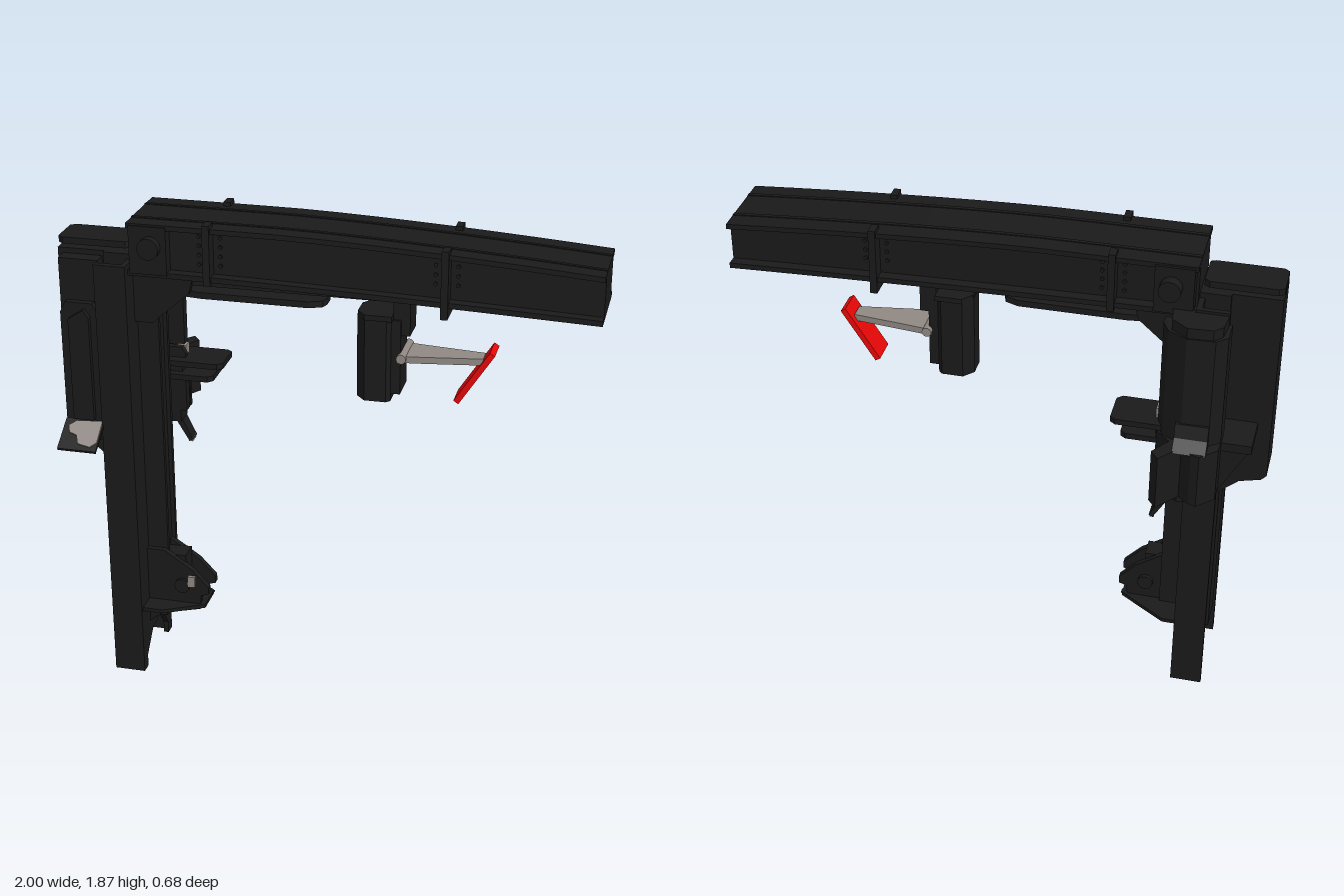
import * as THREE from 'three';

const mat = (name, color) => {
  const m = new THREE.MeshStandardMaterial({ color });
  m.name = name;
  return m;
};

export function createModel() {
  const root = new THREE.Group();
  root.name = 'overheadArmStand';
  const dark = mat('charcoal', 0x1a1a1a);
  const grey = mat('warm grey', 0x8f8883);
  const red = mat('red', 0xea0606);

  const add = (name, geo, m = dark) => {
    const mesh = new THREE.Mesh(geo, m);
    mesh.name = name;
    root.add(mesh);
    return mesh;
  };
  const box = (name, x0, x1, y0, y1, z0, z1, m) => add(name,
    new THREE.BoxGeometry(x1 - x0, y1 - y0, z1 - z0)
      .translate((x0 + x1) / 2, (y0 + y1) / 2, (z0 + z1) / 2), m);
  const extrude = (pts, depth) => new THREE.ExtrudeGeometry(
    new THREE.Shape(pts.map(p => new THREE.Vector2(p[0], p[1]))), { depth, bevelEnabled: false });
  // side outline in x,y
  const side = (name, pts, z0, z1, m) => add(name, extrude(pts, z1 - z0).translate(0, 0, z0), m);
  // plan outline in x,z
  const plan = (name, pts, y0, y1, m) => add(name,
    extrude(pts.map(([x, z]) => [x, -z]), y1 - y0).rotateX(-Math.PI / 2).translate(0, y0, 0), m);
  // end outline in z,y
  const end = (name, pts, x0, x1, m) => add(name,
    extrude(pts.map(([z, y]) => [-z, y]), x1 - x0).rotateY(Math.PI / 2).translate(x0, 0, 0), m);
  const disc = (name, x, y, z0, z1, r, m) => add(name,
    new THREE.CylinderGeometry(r, r, z1 - z0, 20).rotateX(Math.PI / 2).translate(x, y, (z0 + z1) / 2), m);

  // --- Column: outer flanges, notched web, centre rail ---
  box('columnFlangeFront', -0.83, -0.71, 0, 1.7, 0.21, 0.235);
  box('columnFlangeBack', -0.83, -0.71, 0, 1.7, -0.115, -0.095);
  end('columnWeb', [[0.235, 0], [0.19, 0], [0.19, 0.05], [0.11, 0.135], [0.05, 0.135], [0.05, 0.2],
    [0.02, 0.2], [0.02, 0.135], [-0.01, 0.135], [-0.07, 0.05], [-0.07, 0], [-0.115, 0],
    [-0.115, 1.7], [0.235, 1.7]], -0.73, -0.71);
  box('columnCore', -0.83, -0.72, 0.2, 1.7, 0.0, 0.13);
  box('centreRail', -0.71, -0.645, 0.2, 1.66, 0.005, 0.12);
  for (const [a, b] of [[0.005, 0.025], [0.1, 0.12]])
    box('centreRailLip', -0.65, -0.63, 0.27, 1.66, a, b);
  box('columnHead', -0.82, -0.7, 1.62, 1.72, -0.03, 0.15);

  // --- Foot bracket ---
  const rib = [[-0.71, 0.18], [-0.66, 0.22], [-0.5, 0.26], [-0.475, 0.28], [-0.71, 0.28]];
  const cheek = [[-0.71, 0.28], [-0.5, 0.28], [-0.495, 0.32], [-0.465, 0.33],
    [-0.465, 0.36], [-0.53, 0.43], [-0.64, 0.505], [-0.71, 0.505]];
  for (const z of [0.02, 0.115]) {
    side('footRib', rib, z, z + 0.025);
    side('footCheek', cheek, z, z + 0.025);
  }
  plan('footDeck', [[-0.71, -0.1], [-0.66, -0.1], [-0.48, 0.02], [-0.48, 0.14], [-0.63, 0.22], [-0.71, 0.22]], 0.268, 0.283);
  box('footBlock', -0.65, -0.56, 0.33, 0.48, 0.04, 0.12);
  disc('footPivot', -0.57, 0.36, 0.005, 0.152, 0.03);
  box('footCatch', -0.545, -0.517, 0.36, 0.405, 0.135, 0.153, grey);

  // --- Curved overhead beam ---
  const top = x => 1.86 - 0.06 * Math.pow(Math.max(0, (x + 0.2) / 1.2), 1.5);
  const low = x => 1.66 - 0.042 * Math.pow((x + 0.71) / 1.71, 1.5);
  const strip = (name, f, g, z0, z1) => {
    const xs = Array.from({ length: 13 }, (_, i) => -0.71 + 1.71 * i / 12);
    side(name, [...xs.map(x => [x, g(x)]), ...xs.reverse().map(x => [x, f(x)])], z0, z1);
  };
  strip('beamBody', x => top(x) - 0.01, x => low(x) + 0.005, -0.06, 0.165);
  strip('beamTopFlange', x => top(x) - 0.003, x => top(x) - 0.022, -0.1, 0.205);
  strip('beamBottomFlange', x => low(x) + 0.02, low, -0.1, 0.205);
  for (const [a, b] of [[-0.03, -0.015], [0.125, 0.14]])
    strip('beamTopRib', top, x => top(x) - 0.01, a, b);
  for (const x of [-0.41, 0.45]) {
    const t = top(x) + 0.012, b = low(x) - (x > 0 ? 0.04 : 0.01);
    for (const [z0, z1] of [[0.165, 0.217], [-0.112, -0.06]]) {
      box('beamBand', x - 0.013, x + 0.013, b, t, z0, z1);
      for (const s of [-0.04, 0.04]) for (let i = 0; i < 4; i++)
        disc('bandBolt', x + s, 1.71 + i * 0.035, z0 > 0 ? 0.16 : -0.068, z0 > 0 ? 0.173 : -0.055, 0.007);
    }
    box('bandBridge', x - 0.013, x + 0.013, b, b + 0.04, -0.1, 0.2);
  }
  box('beamUnderRail', -0.6, 0.205, 1.615, 1.665, -0.03, 0.135);

  // --- Shoulder joint ---
  box('shoulderCheek', -0.7, -0.56, 1.67, 1.85, 0.165, 0.21);
  box('shoulderCheek', -0.7, -0.56, 1.67, 1.85, -0.11, -0.06);
  disc('shoulderPivot', -0.62, 1.775, -0.15, 0.24, 0.04);
  const gusset = [[-0.71, 1.46], [-0.64, 1.46], [-0.62, 1.48], [-0.5, 1.585], [-0.48, 1.66], [-0.71, 1.66]];
  side('shoulderGusset', gusset, 0.12, 0.15);
  side('shoulderGusset', gusset, -0.04, -0.01);
  box('shoulderWeb', -0.64, -0.6, 1.5, 1.66, -0.04, 0.15);
  plan('underPaddle', [[-0.6, 0.0], [-0.46, -0.02], [-0.06, -0.02], [-0.01, 0.0], [0.0, 0.03], [0.0, 0.08],
    [-0.01, 0.11], [-0.06, 0.13], [-0.46, 0.13], [-0.6, 0.11]], 1.563, 1.587);

  // --- Hanging unit with red pad ---
  plan('hangingCase', [[0.115, 0.025], [0.15, -0.015], [0.23, -0.015], [0.245, 0.0], [0.245, 0.12],
    [0.23, 0.135], [0.15, 0.135], [0.115, 0.095]], 1.225, 1.545);
  plan('caseRim', [[0.118, 0.02], [0.15, -0.02], [0.25, -0.02], [0.25, 0.14], [0.15, 0.14], [0.118, 0.1]], 1.54, 1.56);
  box('caseBackPlate', 0.24, 0.28, 1.255, 1.54, 0.0, 0.12);
  box('hanger', 0.25, 0.312, 1.48, 1.66, 0.0, 0.11);
  disc('armPin', 0.285, 1.4, -0.02, 0.14, 0.018, grey);
  plan('padArm', [[0.27, -0.01], [0.35, 0.0], [0.575, 0.025], [0.575, 0.085], [0.35, 0.12], [0.27, 0.13]], 1.383, 1.408, grey);
  const pad = add('redPad', new THREE.BoxGeometry(0.022, 0.235, 0.104), red);
  pad.position.set(0.547, 1.337, 0.053);
  pad.rotation.z = -0.57;

  // --- Outboard cover and lid ---
  side('outboardCover', [[-1, 0.97], [-0.98, 0.95], [-0.9, 0.93], [-0.83, 0.87], [-0.73, 0.87], [-0.73, 1.72], [-1, 1.72]], -0.015, 0.135);
  plan('coverLid', [[-1, 0.0], [-0.98, -0.015], [-0.74, -0.015], [-0.72, 0.0], [-0.72, 0.12],
    [-0.74, 0.135], [-0.98, 0.135], [-1, 0.12]], 1.735, 1.76);
  box('lidPost', -0.9, -0.8, 1.71, 1.74, 0.03, 0.09);
  box('frontCover', -0.98, -0.83, 0.98, 1.7, 0.135, 0.19);
  side('frontCoverPanel', [[-0.975, 1.0], [-0.83, 1.0], [-0.83, 1.5], [-0.85, 1.54], [-0.955, 1.54], [-0.975, 1.5]], 0.185, 0.215);
  side('frontCoverRidge', [[-0.94, 1.08], [-0.86, 1.08], [-0.86, 1.49], [-0.88, 1.52], [-0.94, 1.48]], 0.21, 0.235);
  end('sideFlap', [[0.22, 1.075], [0.22, 1.06], [0.33, 0.99], [0.335, 1.0]], -0.975, -0.825);
  const grip = plan('flapGrip', [[-0.955, 0.035], [-0.93, 0.012], [-0.83, 0.005], [-0.828, 0.1],
    [-0.85, 0.122], [-0.9, 0.112], [-0.915, 0.075], [-0.945, 0.065]], 0, 0.006, grey);
  grip.position.set(0, 1.075, 0.22);
  grip.rotation.x = 0.578;

  // --- Rear housing ---
  box('rearShelf', -0.95, -0.83, 1.165, 1.2, -0.17, -0.015);
  side('rearShelfBrace', [[-0.83, 0.97], [-0.82, 0.97], [-0.82, 1.17], [-0.94, 1.17]], -0.165, -0.05);
  plan('rearTower', [[-0.84, -0.1], [-0.84, -0.19], [-0.8, -0.225], [-0.7, -0.23], [-0.63, -0.19],
    [-0.605, -0.14], [-0.605, -0.1]], 1.0, 1.65);
  plan('rearTowerCap', [[-0.83, -0.1], [-0.82, -0.19], [-0.79, -0.22], [-0.7, -0.225], [-0.64, -0.18],
    [-0.63, -0.1]], 1.64, 1.69);
  plan('rearTowerBase', [[-0.8, -0.1], [-0.8, -0.2], [-0.7, -0.22], [-0.63, -0.18], [-0.63, -0.1]], 0.95, 1.01);
  plan('flaredCradle', [[-0.84, -0.15], [-0.84, -0.24], [-0.78, -0.3], [-0.75, -0.29], [-0.71, -0.255],
    [-0.64, -0.34], [-0.61, -0.3], [-0.66, -0.225], [-0.605, -0.17], [-0.605, -0.15]], 1.0, 1.215);
  end('cradleNeck', [[-0.2, 1.21], [-0.29, 1.21], [-0.25, 1.25], [-0.235, 1.3], [-0.2, 1.3]], -0.8, -0.68);
  // small shelves beside the column
  for (const [y, x1] of [[1.23, -0.435], [1.175, -0.475]])
    plan('sideShelf', [[-0.71, -0.02], [x1 - 0.02, -0.02], [x1, -0.04], [x1, -0.16], [x1 - 0.02, -0.175], [-0.71, -0.175]], y - 0.011, y + 0.011);
  box('shelfSpacer', -0.71, -0.6, 1.18, 1.23, -0.15, -0.05);
  box('shelfCatch', -0.63, -0.595, 1.24, 1.28, -0.128, -0.085, grey);
  side('catchGuard', [[-0.71, 1.24], [-0.59, 1.24], [-0.59, 1.26], [-0.605, 1.282], [-0.71, 1.285]], -0.084, -0.06);
  side('lowerLever', [[-0.68, 0.96], [-0.615, 0.85], [-0.6, 0.855], [-0.65, 0.96]], -0.2, -0.145);
  box('leverTip', -0.618, -0.602, 0.845, 0.86, -0.195, -0.15, grey);
  return root;
}
